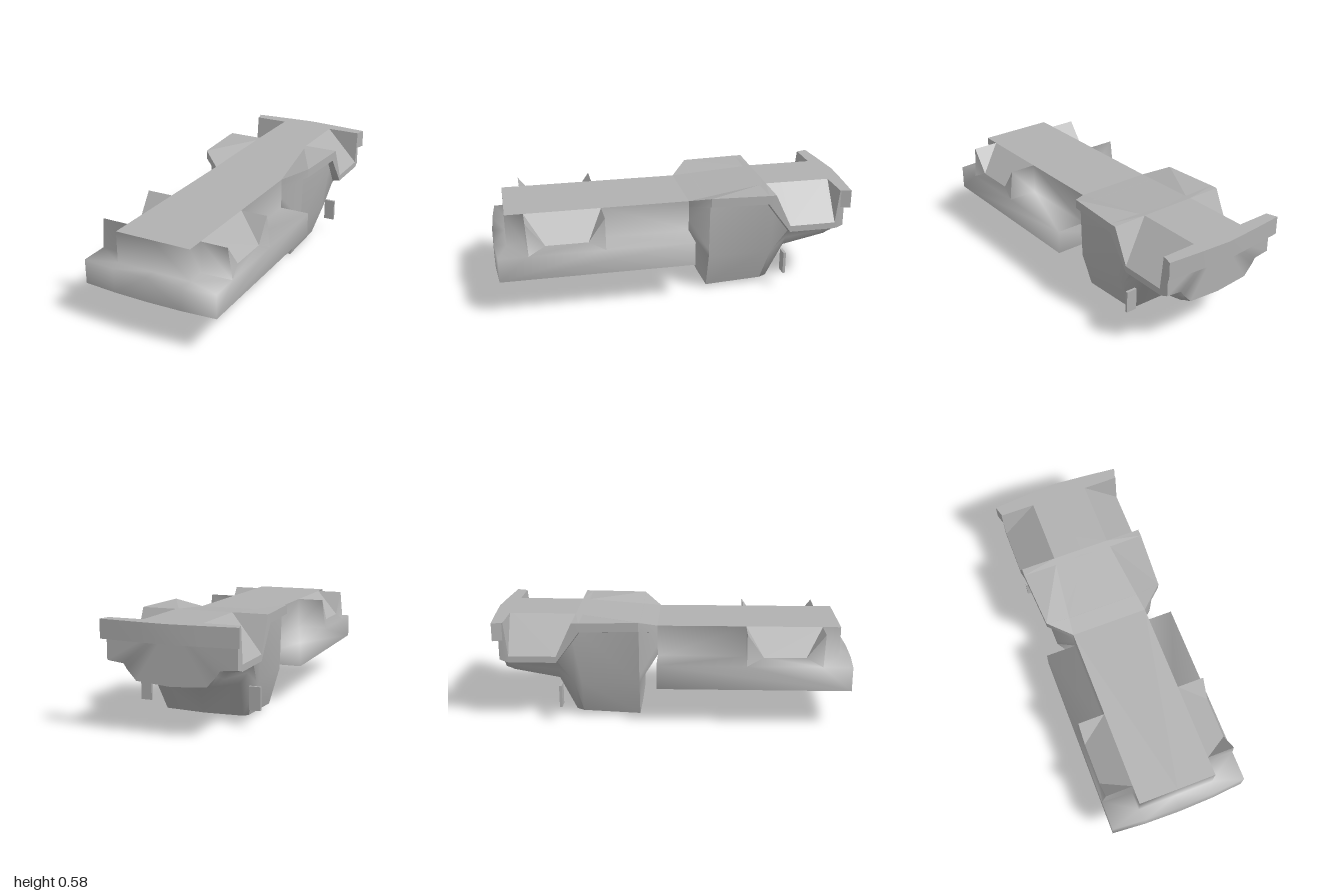
import * as THREE from 'three';
import { toCreasedNormals } from 'three/addons/utils/BufferGeometryUtils.js';

const grey = new THREE.MeshStandardMaterial({ color: 0xb0b0b0, side: THREE.DoubleSide });
grey.name = 'grey';

// Faces of the +x half, fanned into triangles and mirrored to the other side
function mirrored(faces, crease) {
  const pos = [];
  for (const f of faces) {
    for (let k = 1; k < f.length - 1; k++) {
      const tri = [f[0], f[k], f[k + 1]];
      for (const p of tri) pos.push(p[0], p[1], p[2]);
      for (const p of tri.reverse()) pos.push(-p[0], p[1], p[2]);
    }
  }
  const g = new THREE.BufferGeometry();
  g.setAttribute('position', new THREE.Float32BufferAttribute(pos, 3));
  return toCreasedNormals(g, crease);
}

// Slab with an outline in plan (x, z), standing between two heights
function slab(outline, y0, y1, crease) {
  const shape = new THREE.Shape(outline.map(([x, z]) => new THREE.Vector2(x, -z)));
  const g = new THREE.ExtrudeGeometry(shape, { depth: y1 - y0, bevelEnabled: false });
  g.rotateX(-Math.PI / 2);
  g.translate(0, y0, 0);
  return toCreasedNormals(g, crease);
}

// Rear hull, lofted from half sections running from the top centre to the keel;
// returns the crisp top faces and the smooth lower faces separately
function rearHullFaces() {
  // z, inner x, top y, outer x, outer y, rim y, inset x, mid x, mid y, low x, low y, keel y
  const sections = [
    [-0.08, 0.2, 0.53, 0.215, 0.53, 0.5, 0.215, 0.215, 0.42, 0.215, 0.36, 0.36],
    [-0.179, 0.203, 0.541, 0.335, 0.58, 0.53, 0.305, 0.297, 0.26, 0.295, 0.22, 0.22],
    [-0.18, 0.203, 0.541, 0.335, 0.58, 0.53, 0.305, 0.295, 0.22, 0.235, 0.015, 0],
    [-0.5, 0.165, 0.575, 0.355, 0.58, 0.53, 0.32, 0.295, 0.22, 0.235, 0.03, 0.02],
    [-0.54, 0.16, 0.58, 0.355, 0.58, 0.475, 0.32, 0.295, 0.22, 0.22, 0.035, 0.03],
    [-0.63, 0.16, 0.58, 0.355, 0.39, 0.355, 0.31, 0.28, 0.29, 0.24, 0.23, 0.21],
    [-0.89, 0.16, 0.58, 0.355, 0.39, 0.355, 0.28, 0.26, 0.31, 0.21, 0.265, 0.25],
    [-0.91, 0.16, 0.58, 0.355, 0.58, 0.36, 0.27, 0.25, 0.32, 0.2, 0.27, 0.255],
    [-0.94, 0.15, 0.57, 0.35, 0.57, 0.37, 0.26, 0.24, 0.33, 0.19, 0.275, 0.26],
  ];
  const rings = sections.map(([z, ix, ty, ox, oy, ry, sx, mx, my, lx, ly, ky]) => [
    [0, ty, z], [ix, ty, z], [ox, oy, z], [ox, ry, z],
    [sx, ry - 0.01, z], [mx, my, z], [lx, ly, z], [0, ky, z],
  ]);
  const top = [], lower = [];
  for (let i = 0; i < rings.length - 1; i++) {
    for (let j = 0; j < 7; j++) {
      const a = rings[i][j], b = rings[i][j + 1];
      const c = rings[i + 1][j], d = rings[i + 1][j + 1];
      const part = j < 2 ? top : lower;
      // the front of the wheel recess folds along the other diagonal
      if (i === 4 && j === 1) part.push([a, b, d], [a, d, c]);
      else part.push([a, b, c], [b, d, c]);
    }
  }
  lower.push(rings[rings.length - 1]);
  return { top, lower };
}

// Levels and corners shared by the front parts
const TOP = 0.53, SILL = 0.355, PAN = 0.335, FOOT = 0.22;
const DECK = 0.215, FIN = 0.365, SIDE = 0.385, REAR = -0.08;
const deckFront = [DECK, TOP, 0.83], finFront = [FIN, TOP, 0.83];
const deckRear = [DECK, TOP, 0.41], finRear = [FIN, TOP, 0.41];
const floorFront = [FIN, 0.4, 0.73], floorRear = [FIN, 0.4, 0.5];

// Deck walls, sill tops and skirt, softly shaded
function frontShell() {
  const bow = [[0, 1], [0.2, 0.995], [SIDE, 0.98]];
  const plateIn = [DECK, SILL, 0.83], plateOut = [SIDE, SILL, 0.82];
  const rearIn = [DECK, SILL, 0.41], rearOut = [SIDE, SILL, 0.41];
  const noseMid = [0, SILL, 0.93], noseIn = [DECK, SILL, 0.93];
  const endIn = [DECK, SILL, REAR], endOut = [SIDE, SILL, REAR];
  const [b0, b1, b2] = bow.map(([x, z]) => [x, SILL, z]);
  const [f0, f1, f2] = bow.map(([x, z]) => [x, FOOT, z]);
  const footEnd = [SIDE, FOOT, REAR];
  return mirrored([
    // deck walls
    [[0, TOP, 0.93], noseMid, noseIn, [DECK, TOP, 0.93]],
    [[DECK, TOP, 0.93], noseIn, plateIn, deckFront],
    [deckRear, rearIn, endIn, [DECK, TOP, REAR]],
    // plates and sides around the wheel recess
    [deckFront, plateIn, plateOut, finFront],
    [finRear, rearOut, rearIn, deckRear],
    [finFront, plateOut, floorFront],
    [plateOut, rearOut, floorRear],
    [plateOut, floorRear, floorFront],
    [rearOut, finRear, floorRear],
    // sill tops
    [noseMid, b0, b1, noseIn],
    [noseIn, b1, b2],
    [noseIn, b2, plateOut, plateIn],
    [rearIn, rearOut, endOut, endIn],
    // skirt
    [b0, f0, f1, b1],
    [b1, f1, f2, b2],
    [f2, footEnd, endOut, rearOut, plateOut, b2],
    [endOut, footEnd, [0, FOOT, REAR], [0, SILL, REAR]],
  ], 1.65);
}

// Recessed underside: narrow rim, inner walls and a flat ceiling
function underPan() {
  const outer = [[0, 1], [SIDE, 0.98], [SIDE, REAR], [0, REAR]];
  const inner = [[0, 0.985], [SIDE - 0.015, 0.965], [SIDE - 0.015, REAR + 0.015], [0, REAR + 0.015]];
  const at = (plan, y) => plan.map(([x, z]) => [x, y, z]);
  const rim = at(outer, FOOT), lip = at(inner, FOOT), ceiling = at(inner, PAN);
  const faces = [[...ceiling].reverse()];
  for (let i = 0; i < 3; i++) {
    faces.push([rim[i], lip[i], lip[i + 1], rim[i + 1]]);
    faces.push([lip[i], ceiling[i], ceiling[i + 1], lip[i + 1]]);
  }
  return mirrored(faces, 1.65);
}

// Folded corners and sloping floor of the front wheel recesses
function wheelRecesses() {
  return mirrored([
    [deckFront, finFront, floorFront],
    [deckFront, floorFront, floorRear, deckRear],
    [deckRear, floorRear, finRear],
  ], 0.3);
}

export function createModel() {
  const model = new THREE.Group();
  model.name = 'vehicleBody';
  const add = (name, geometry, x = 0, y = 0, z = 0) => {
    const mesh = new THREE.Mesh(geometry, grey);
    mesh.name = name;
    mesh.position.set(x, y, z);
    model.add(mesh);
  };

  // Front half
  add('frontDeckTop', mirrored([
    [[0, TOP, 0.93], [DECK, TOP, 0.93], [DECK, TOP, REAR], [0, TOP, REAR]],
  ], 0.3));
  add('frontShell', frontShell());
  add('frontUnderPan', underPan());
  add('frontWheelRecesses', wheelRecesses());

  // Rear half
  const hull = rearHullFaces();
  add('rearDeckTop', mirrored(hull.top, 0.08));
  add('rearHull', mirrored(hull.lower, 1.2));
  add('rearBumper', slab([
    [-0.352, -0.91], [-0.37, -0.97], [-0.18, -0.987], [0, -1],
    [0.18, -0.987], [0.37, -0.97], [0.352, -0.91],
  ], 0.48, 0.58, 0.6));

  // Small hanging plates behind the hull
  add('leftHangingPlate', new THREE.BoxGeometry(0.062, 0.125, 0.015), 0.304, 0.155, -0.613);
  add('rightHangingPlate', new THREE.BoxGeometry(0.062, 0.125, 0.015), -0.314, 0.155, -0.613);
  return model;
}
